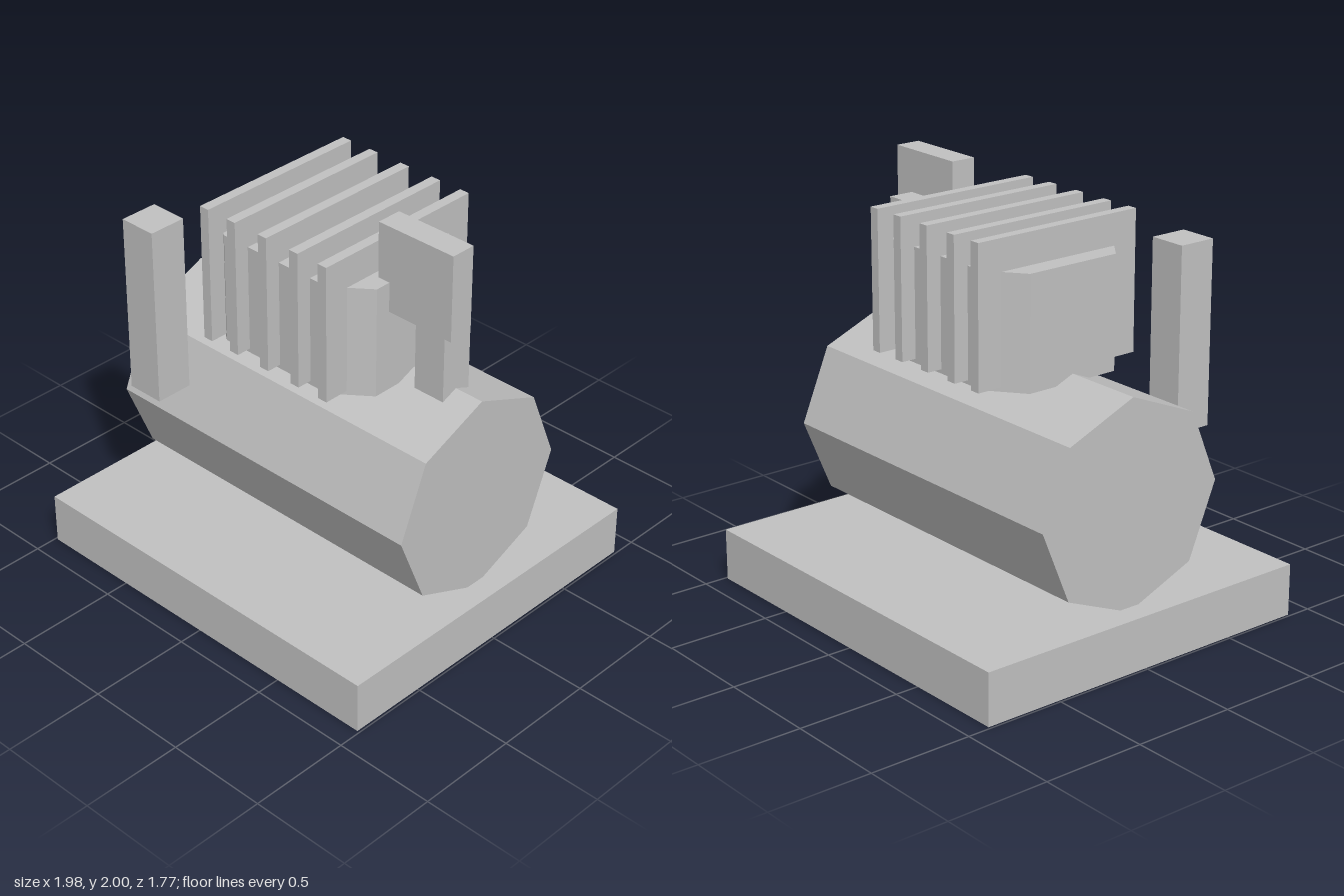
import * as THREE from 'three';

export function createModel() {
  const group = new THREE.Group();
  const grey = new THREE.MeshStandardMaterial({ color: 0xc0c0c0, flatShading: true });
  grey.name = 'plain grey';

  const add = (name, geometry) => {
    const mesh = new THREE.Mesh(geometry, grey);
    mesh.name = name;
    group.add(mesh);
    return mesh;
  };

  // Box given by its extents along each axis
  const box = (name, [x0, x1], [y0, y1], [z0, z1]) =>
    add(name, new THREE.BoxGeometry(x1 - x0, y1 - y0, z1 - z0))
      .position.set((x0 + x1) / 2, (y0 + y1) / 2, (z0 + z1) / 2);

  // Base slab
  box('base', [-0.988, 0.988], [0, 0.252], [-0.885, 0.885]);

  // Octagonal drum lying along x, its lowest edge sunk into the base
  add('drum', new THREE.CylinderGeometry(0.5, 0.5, 1.75, 8).rotateZ(Math.PI / 2))
    .position.y = 0.73;

  // Block with chamfered corners, extruded upward
  const plan = [
    [0.48, -0.243], [0.48, 0.243], [0.313, 0.373], [-0.313, 0.373],
    [-0.48, 0.243], [-0.48, -0.243], [-0.313, -0.373], [0.313, -0.373],
  ].map(([x, z]) => new THREE.Vector2(x, z));
  const block = new THREE.ExtrudeGeometry(new THREE.Shape(plan), { depth: 0.54, bevelEnabled: false });
  add('cylinderBlock', block.rotateX(-Math.PI / 2)).position.y = 1.19;

  // Cooling fins
  [-0.355, -0.19, 0, 0.187, 0.355].forEach((x, i) =>
    box(`coolingFin${i + 1}`, [x - 0.025, x + 0.025], [1.21, 1.88], [-0.447, 0.447]));

  // Left post with its upright plate
  box('leftPost', [0.56, 0.725], [1.18, 1.795], [-0.083, 0.083]);
  box('leftPlate', [0.415, 0.832], [1.585, 2], [0.042, 0.166]);

  // Upright pipe at the front right
  box('frontPipe', [-0.68, -0.493], [0.9, 1.773], [0.447, 0.633]);

  return group;
}
